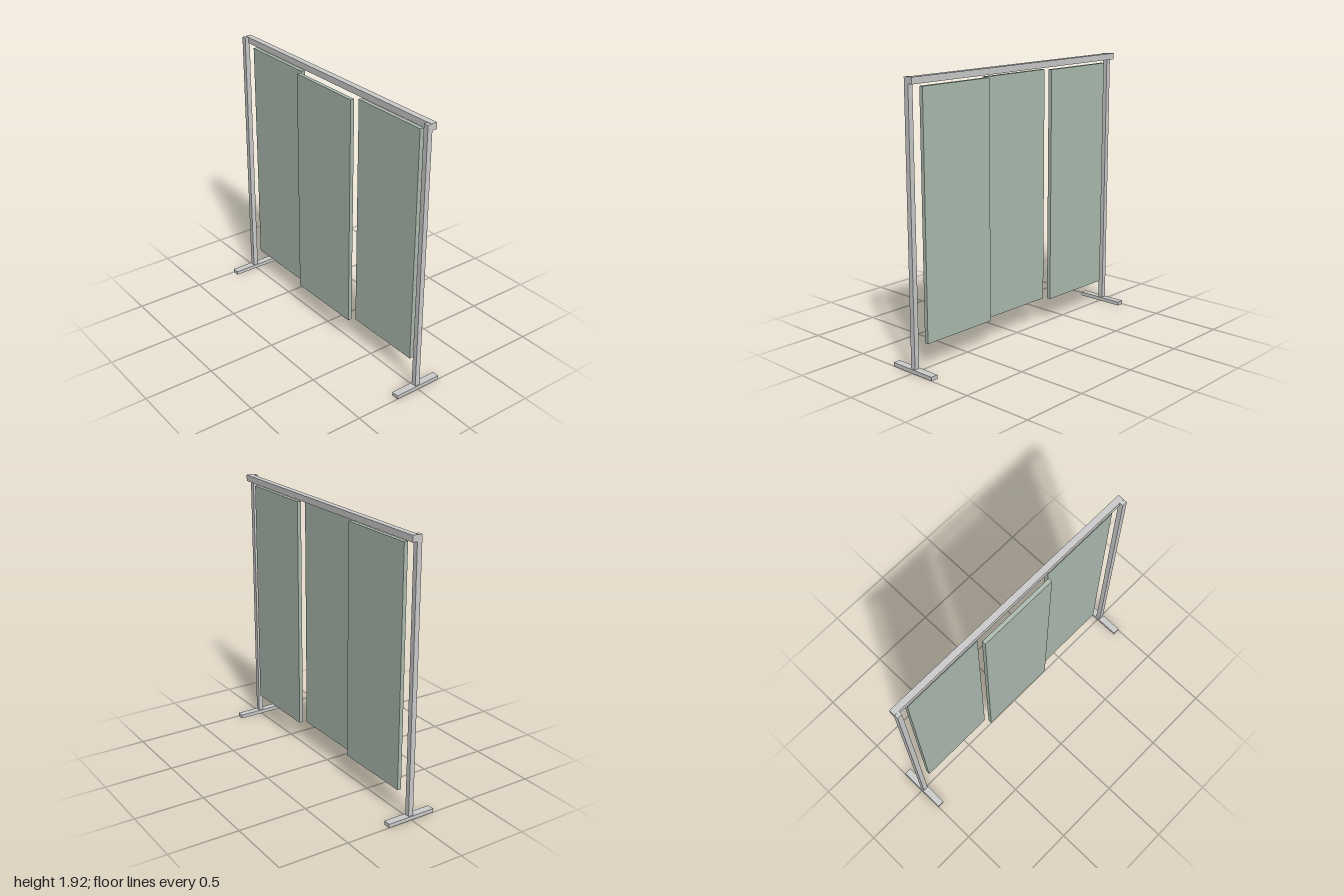
import * as THREE from 'three';

export function createModel() {
  const group = new THREE.Group();
  const frame = new THREE.MeshStandardMaterial({ color: 0xcccccc });
  const panelMat = new THREE.MeshStandardMaterial({ color: 0xadbcb0 });

  // Box given by its lower and upper corners
  function box(name, min, max, material) {
    const size = max.map((v, i) => v - min[i]);
    const mesh = new THREE.Mesh(new THREE.BoxGeometry(...size), material);
    mesh.position.set(...max.map((v, i) => (v + min[i]) / 2));
    mesh.name = name;
    group.add(mesh);
  }

  // Feet and posts at both ends
  for (const [side, s] of [['left', 1], ['right', -1]]) {
    const x = 0.974 * s;
    box(side + 'Foot', [x - 0.026, 0, -0.18], [x + 0.026, 0.027, 0.18], frame);
    box(side + 'Post', [x - 0.018, 0.027, -0.018], [x + 0.018, 1.915, 0.018], frame);
  }

  // Top rail, set towards the back of the posts
  box('topRail', [-0.992, 1.873, -0.053], [0.992, 1.917, -0.009], frame);

  // Hanging panels: the middle one in front, the outer two behind
  for (const [name, x, z] of [['rightPanel', -0.602, -0.025], ['middlePanel', 0, 0.025], ['leftPanel', 0.602, -0.025]]) {
    box(name, [x - 0.292, 0.182, z - 0.014], [x + 0.292, 1.852, z + 0.014], panelMat);
  }
  return group;
}
